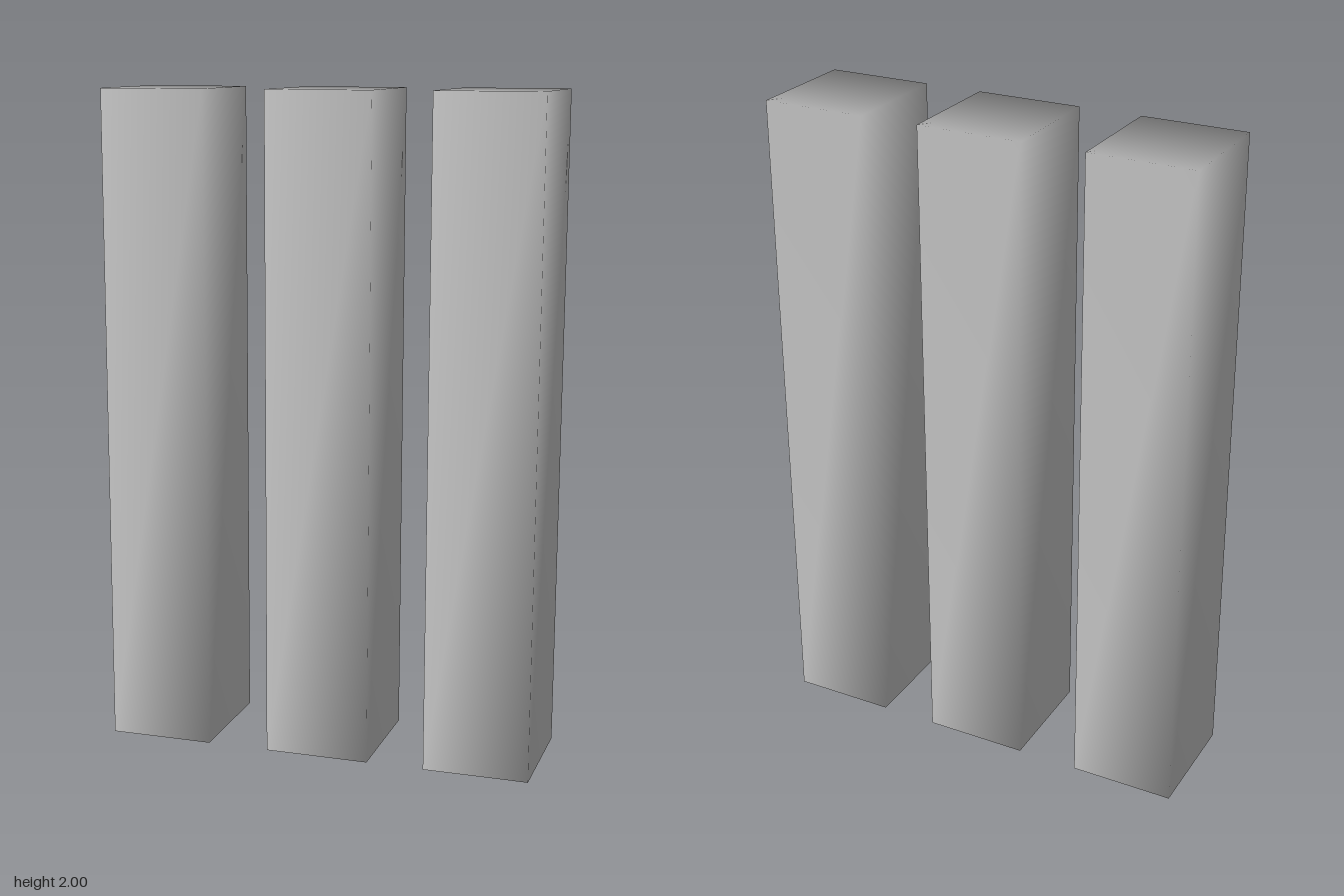
import * as THREE from 'three';
import { mergeVertices } from 'three/addons/utils/BufferGeometryUtils.js';

const HEIGHT = 2, WIDTH = 0.32, DEPTH = 0.362, LEAN = 0.008;

// Square post leaning slightly to +x, with corners shared so it shades softly
function postGeometry() {
  const box = new THREE.BoxGeometry(WIDTH, HEIGHT, DEPTH);
  box.deleteAttribute('normal');
  box.deleteAttribute('uv');
  const geometry = mergeVertices(box);
  const p = geometry.attributes.position;
  for (let i = 0; i < p.count; i++) {
    p.setX(i, p.getX(i) + Math.sign(p.getY(i)) * LEAN / 2);
  }
  geometry.translate(0, HEIGHT / 2, 0);
  geometry.computeVertexNormals();
  return geometry;
}

export function createModel() {
  const group = new THREE.Group();
  group.name = 'posts';
  const material = new THREE.MeshStandardMaterial({ color: 0xcccccc });
  const geometry = postGeometry();

  // Row of three separate posts
  const posts = [['rightPost', -0.504], ['middlePost', 0.006], ['leftPost', 0.502]];
  for (const [name, x] of posts) {
    const post = new THREE.Mesh(geometry, material);
    post.name = name;
    post.position.x = x;
    group.add(post);
  }
  return group;
}
